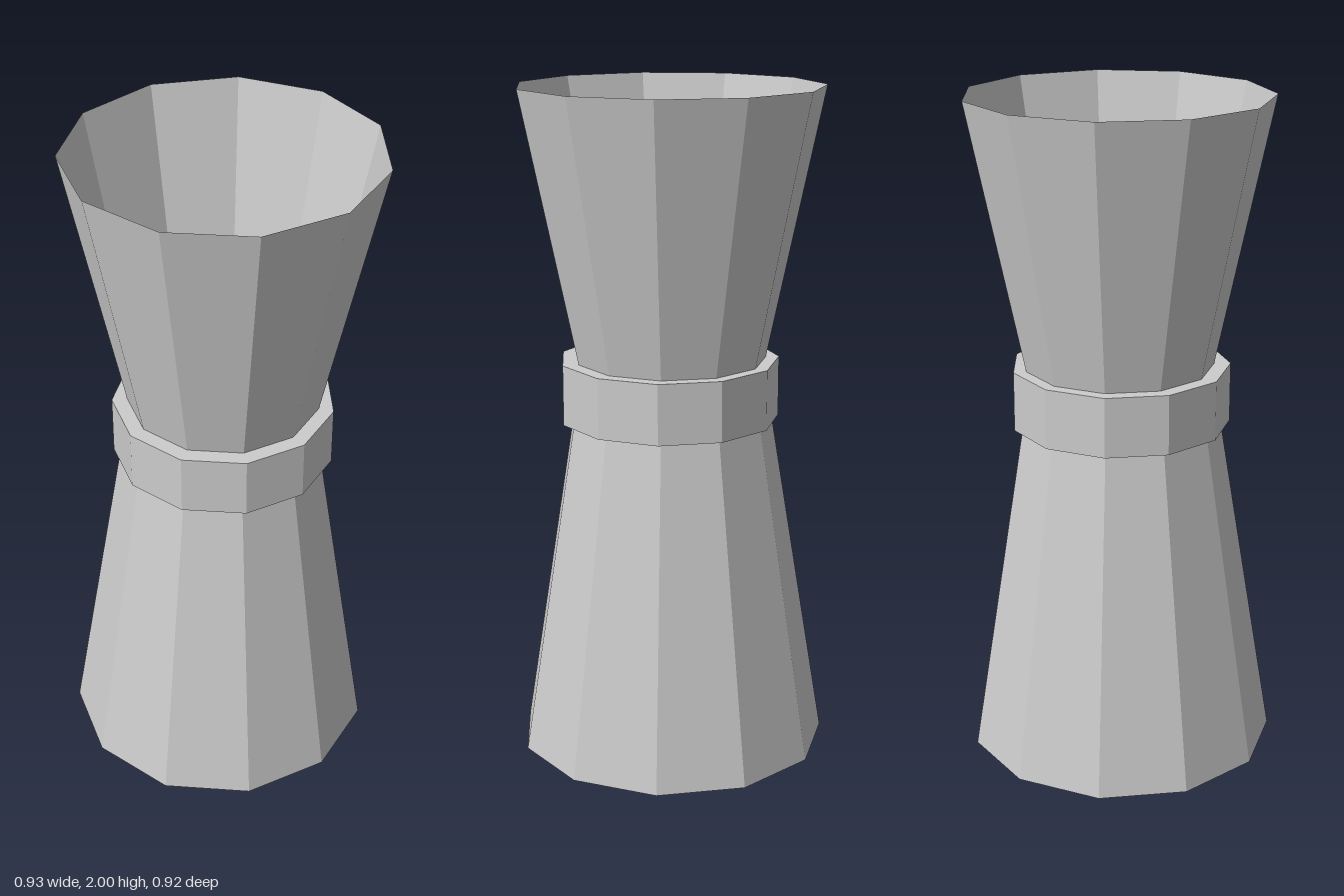
import * as THREE from 'three';

const SIDES = 11;

// Revolves [radius, y, centreX, centreZ] rings, with a corner pointing to the back.
function loft(name, rings, material) {
  const profile = rings.map(([r, y]) => new THREE.Vector2(r, y));
  const geometry = new THREE.LatheGeometry(profile, SIDES, Math.PI);
  const pos = geometry.attributes.position;
  // Shift each ring to its own centre, giving the slight lean of the body.
  for (let i = 0; i < pos.count; i++) {
    const [, , cx, cz] = rings[i % rings.length];
    pos.setX(i, pos.getX(i) + cx);
    pos.setZ(i, pos.getZ(i) + cz);
  }
  geometry.computeVertexNormals();
  const mesh = new THREE.Mesh(geometry, material);
  mesh.name = name;
  return mesh;
}

export function createModel() {
  const group = new THREE.Group();
  group.name = 'doubleCup';

  const metal = new THREE.MeshStandardMaterial({ color: 0xcccccc });
  metal.name = 'grey metal';
  metal.flatShading = true;
  metal.side = THREE.DoubleSide;

  // Large lower cup, open at the base
  group.add(loft('lowerCup', [
    [0.468, 0, 0, 0.008],
    [0.302, 1.02, 0.005, 0.01],
    [0.284, 1.2, 0.011, 0.0115],
  ], metal));

  // Smaller upper cup, open at the top
  group.add(loft('upperCup', [
    [0.284, 1.2, 0.011, 0.0115],
    [0.452, 2, 0.0125, 0.012],
  ], metal));

  // Raised collar around the waist, with flat upper and lower rims
  group.add(loft('collar', [
    [0.302, 1.02, 0.005, 0.01],
    [0.328, 1.02, 0.008, 0.016],
    [0.328, 1.2, 0.008, 0.016],
    [0.284, 1.2, 0.011, 0.0115],
  ], metal));

  return group;
}
